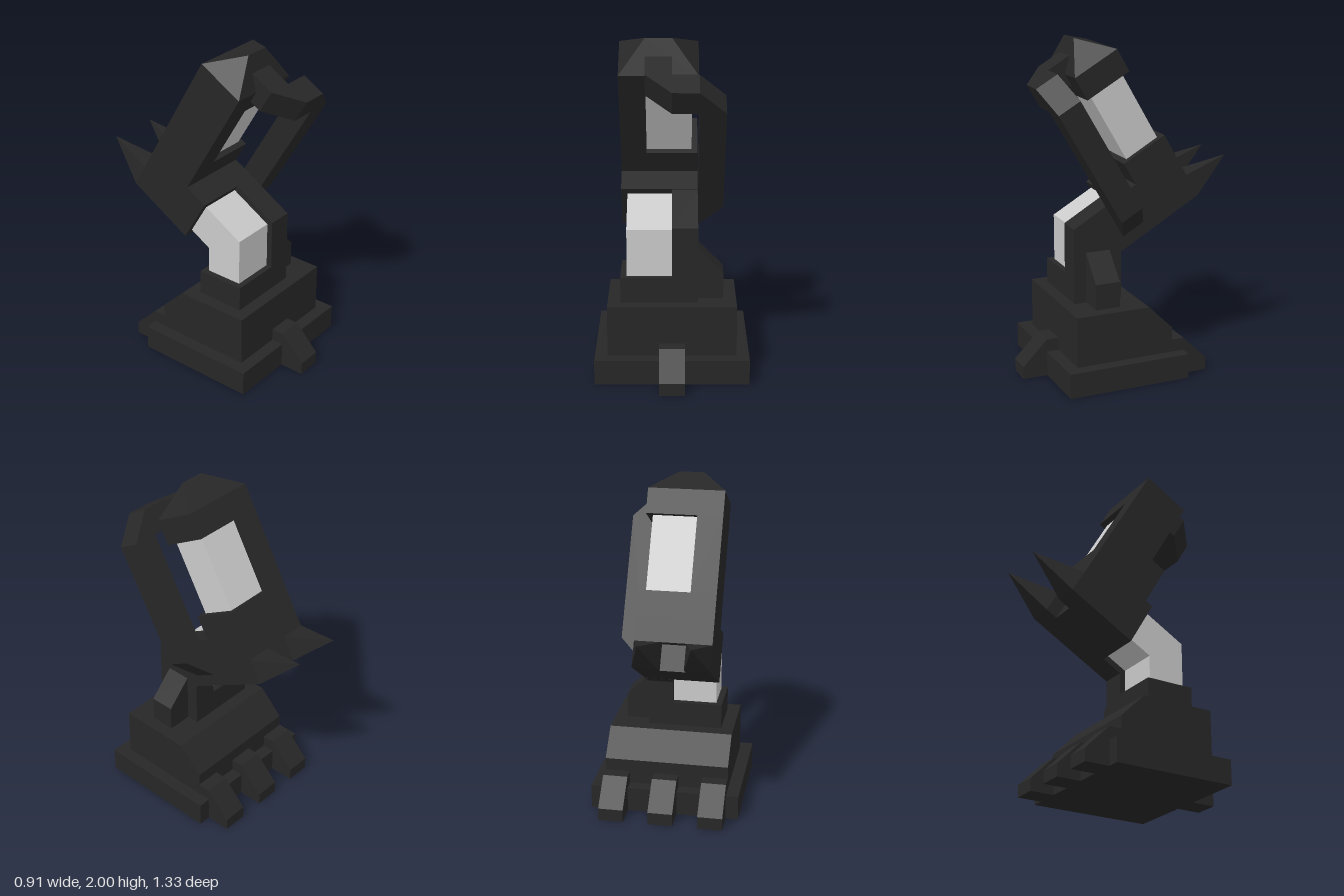
import * as THREE from 'three';
import { ConvexGeometry } from 'three/addons/geometries/ConvexGeometry.js';

export function createModel() {
  const model = new THREE.Group();
  const black = new THREE.MeshStandardMaterial({ color: 0x272727 });
  black.name = 'black';
  const grey = new THREE.MeshStandardMaterial({ color: 0xcacaca });
  grey.name = 'light grey';

  const add = (parent, name, geometry, material = black) => {
    const mesh = new THREE.Mesh(geometry, material);
    mesh.name = name;
    parent.add(mesh);
  };
  const box = (x0, x1, y0, y1, z0, z1) =>
    new THREE.BoxGeometry(x1 - x0, y1 - y0, z1 - z0)
      .translate((x0 + x1) / 2, (y0 + y1) / 2, (z0 + z1) / 2);
  const extrude = (points, depth) => new THREE.ExtrudeGeometry(
    new THREE.Shape(points.map(p => new THREE.Vector2(...p))), { depth, bevelEnabled: false });
  // Prisms along x from (z, y), along y from (x, z), along z from (x, y)
  const prismX = (points, x0, x1) =>
    extrude(points, x1 - x0).rotateY(-Math.PI / 2).translate(x1, 0, 0);
  const prismY = (points, y0, y1) =>
    extrude(points, y1 - y0).rotateX(Math.PI / 2).translate(0, y1, 0);
  const prismZ = (points, z0, z1) => extrude(points, z1 - z0).translate(0, 0, z0);
  const hull = points => new ConvexGeometry(points.map(p => new THREE.Vector3(...p)));

  // Foot
  const foot = new THREE.Group();
  foot.name = 'foot';
  model.add(foot);
  add(foot, 'basePlate', box(-0.453, 0.453, 0, 0.151, -0.242, 0.515));
  add(foot, 'footBlock', prismX([[0.44, 0.151], [0.44, 0.455], [-0.015, 0.455],
    [-0.166, 0.305], [-0.166, 0.151]], -0.378, 0.378));
  add(foot, 'frontToe', prismX([[0.44, 0], [0.665, 0], [0.665, 0.077], [0.515, 0.228],
    [0.44, 0.228]], -0.075, 0.075));
  for (const x of [-0.302, 0, 0.302]) {
    add(foot, 'backToe', prismX([[-0.16, 0], [-0.393, 0], [-0.393, 0.077], [-0.242, 0.228],
      [-0.16, 0.228]], x - 0.0755, x + 0.0755));
  }

  // Bent leg: a black wall with a slimmer grey core beside it
  const leg = new THREE.Group();
  leg.name = 'leg';
  model.add(leg);
  add(leg, 'ankleBlock', box(-0.302, 0.151, 0.455, 0.608, 0.065, 0.365));
  add(leg, 'legWall', prismX([[0.365, 0.608], [0.365, 0.912], [0.10, 1.067], [-0.05, 0.808],
    [0.065, 0.742], [0.065, 0.608]], 0, 0.151));
  add(leg, 'legCore', prismX([[0.33, 0.608], [0.33, 0.892], [0.082, 1.035], [-0.031, 0.841],
    [0.101, 0.765], [0.101, 0.608]], -0.265, 0), grey);
  add(leg, 'ankleBrace', prismZ([[0.151, 0.455], [0.302, 0.455], [0.302, 0.61],
    [0.151, 0.763]], 0.14, 0.291));

  // Upper body, leaning forward
  const body = new THREE.Group();
  body.name = 'tiltedBody';
  body.rotation.x = Math.PI / 6;
  model.add(body);
  add(body, 'hipBlock', box(-0.302, 0.151, 0.675, 0.975, -0.822, -0.447));
  add(body, 'hipBackRim', box(-0.302, 0.151, 0.829, 0.975, -0.897, -0.822));
  add(body, 'barrelBase', box(-0.302, 0.151, 0.975, 1.126, -0.897, -0.597));
  add(body, 'barrelWall', box(-0.302, -0.151, 1.126, 1.579, -0.897, -0.597));
  add(body, 'barrelCap', box(-0.302, 0.151, 1.579, 1.732, -0.897, -0.597));
  add(body, 'barrelCore', box(-0.151, 0.115, 1.126, 1.579, -0.861, -0.632), grey);
  add(body, 'barrelRoof', hull([[-0.302, 1.732, -0.897], [0.151, 1.732, -0.897],
    [-0.302, 1.732, -0.597], [0.151, 1.732, -0.597],
    [-0.151, 1.881, -0.747], [0, 1.881, -0.747]]));

  // Pointed claws at the lower back
  for (const x of [-0.2265, 0.0755]) {
    const x0 = x - 0.0755, x1 = x + 0.0755;
    add(body, 'clawBase', box(x0, x1, 0.675, 0.829, -0.897, -0.822));
    add(body, 'claw', hull([[x0, 0.675, -0.897], [x1, 0.675, -0.897],
      [x0, 0.829, -0.897], [x1, 0.829, -0.897], [x, 0.75, -1.198]]));
  }

  // Side arm and the hook joining it to the barrel cap
  add(body, 'arm', prismZ([[0.151, 0.747], [0.302, 0.899], [0.302, 1.658], [0.151, 1.81]],
    -0.522, -0.372));
  add(body, 'armHook', prismY([[0.151, -0.372], [0, -0.372], [-0.151, -0.522],
    [-0.151, -0.673], [0, -0.673], [0, -0.522], [0.151, -0.522]], 1.656, 1.81));

  return model;
}
